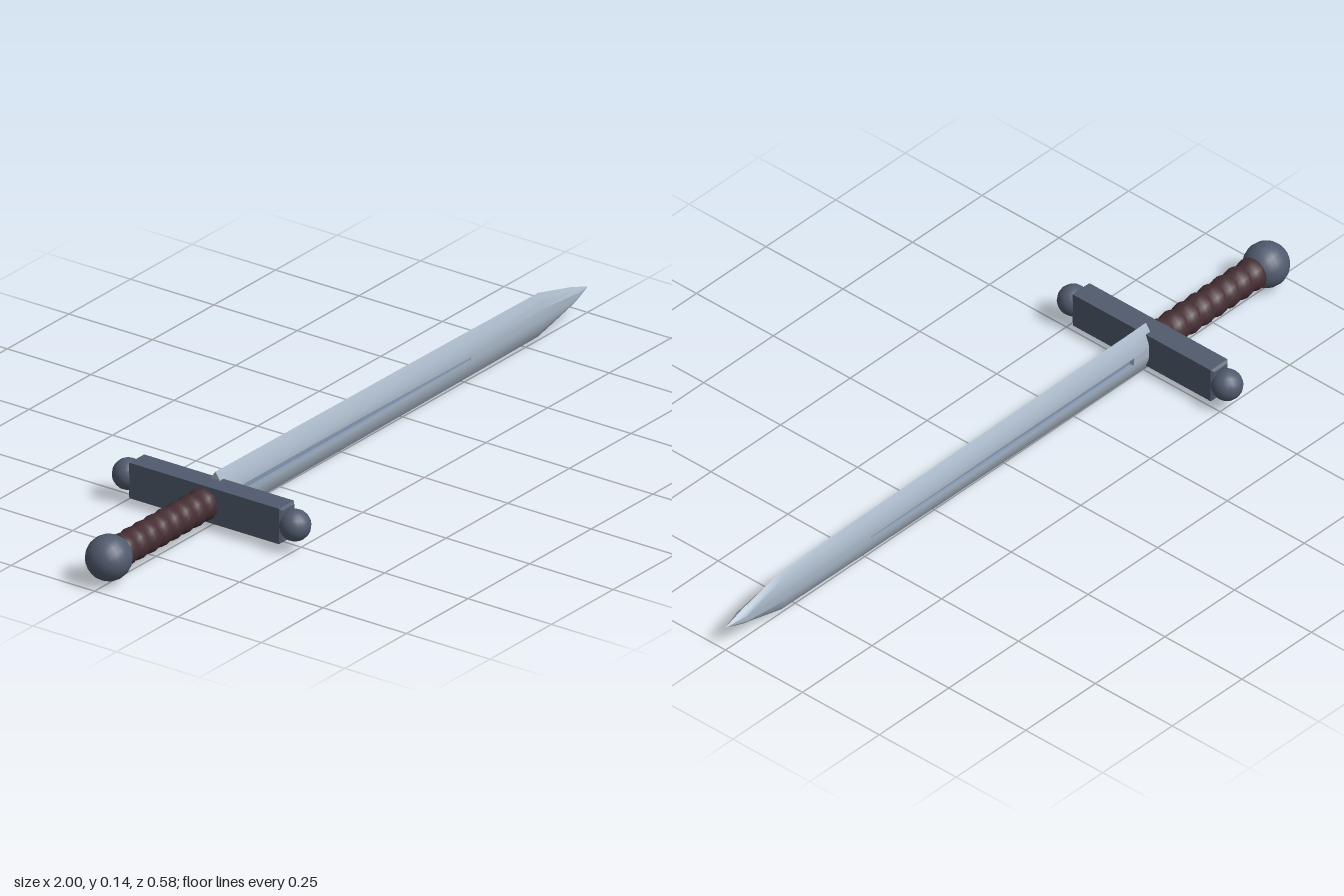
import * as THREE from 'three';
import { toCreasedNormals } from 'three/addons/utils/BufferGeometryUtils.js';

const AXIS_Y = 0.07; // height of the sword's long axis

export function createModel() {
  const mat = (name, color, side = THREE.FrontSide) => {
    const m = new THREE.MeshStandardMaterial({ color, side });
    m.name = name;
    return m;
  };
  const steel = mat('blade steel', 0xa6b4c4);
  const shade = mat('fuller steel', 0x8395ac);
  const iron = mat('dark iron', 0x515b6e);
  const leather = mat('grip leather', 0x452e33);

  const sword = new THREE.Group();
  sword.name = 'sword';
  const add = (name, geometry, material, x = 0, z = 0) => {
    const mesh = new THREE.Mesh(geometry, material);
    mesh.name = name;
    mesh.position.set(x, AXIS_Y, z);
    sword.add(mesh);
    return mesh;
  };

  // Blade stations: x, half height, half thickness, fuller half width, fuller depth
  const stations = [
    [-0.51, 0.068, 0.024, 0.011, 0],
    [-0.44, 0.067, 0.024, 0.011, 0],
    [-0.436, 0.067, 0.024, 0.011, 0.009],
    [0.04, 0.064, 0.023, 0.009, 0.008],
    [0.25, 0.063, 0.022, 0.006, 0.006],
    [0.496, 0.061, 0.021, 0.003, 0.003],
    [0.5, 0.061, 0.021, 0.003, 0],
    [0.8, 0.058, 0.018, 0.003, 0],
    [0.94, 0.022, 0.016, 0.003, 0],
    [0.998, 0.001, 0.001, 0.0003, 0],
  ];
  // Half of a lens section with a fuller; the other half is the same turned by 180 degrees
  const section = ([x, h, t, g, d]) => {
    const half = [
      [h, 0], [0.74 * h, 0.5 * t], [0.37 * h, 0.92 * t],
      [g, t], [0.8 * g, t - d], [-0.8 * g, t - d], [-g, t],
      [-0.37 * h, 0.92 * t], [-0.74 * h, 0.5 * t],
    ];
    return [...half, ...half.map(([y, z]) => [-y, -z])].map(([y, z]) => [x, y, z]);
  };
  const rings = stations.map(section);
  const n = rings[0].length;
  const body = [], groove = [];
  for (let i = 0; i < rings.length - 1; i++) {
    for (let j = 0; j < n; j++) {
      const k = (j + 1) % n, s = j % 9;
      const inFuller = s >= 3 && s <= 5 && (stations[i][4] > 0 || stations[i + 1][4] > 0);
      const a = rings[i][j], b = rings[i][k], c = rings[i + 1][j], d = rings[i + 1][k];
      (inFuller ? groove : body).push(...a, ...b, ...c, ...b, ...d, ...c);
    }
  }
  // Flat end of the blade at the guard
  for (let j = 0; j < n; j++) {
    body.push(stations[0][0], 0, 0, ...rings[0][(j + 1) % n], ...rings[0][j]);
  }
  const surface = (points) => {
    const g = new THREE.BufferGeometry();
    g.setAttribute('position', new THREE.Float32BufferAttribute(points, 3));
    return toCreasedNormals(g, 0.6);
  };
  add('blade', surface(body), steel);
  add('fuller', surface(groove), shade);

  // Crossguard: chamfered bar running along z
  const w = 0.024, h = 0.041, bevel = 0.006, len = 0.46;
  const bar = new THREE.Shape([
    [-w, -h], [w, -h], [w, h], [-w, h],
  ].map(([x, y]) => new THREE.Vector2(x, y)));
  const guard = new THREE.ExtrudeGeometry(bar, {
    depth: len - 2 * bevel, bevelEnabled: true, bevelSize: bevel,
    bevelThickness: bevel, bevelSegments: 1,
  });
  guard.translate(0, 0, -len / 2 + bevel);
  add('crossguard', guard, iron, -0.525);

  // Ball ends of the guard
  for (const side of [-1, 1]) {
    add('guardBall', new THREE.SphereGeometry(0.04, 16, 10), iron, -0.525, side * 0.25);
  }

  // Wrapped grip: a row of rounded coils
  const coils = 8, x0 = -0.91, x1 = -0.54;
  const profile = [];
  for (let i = 0; i <= coils * 4; i++) {
    const r = 0.036 + 0.006 * Math.abs(Math.sin((i / 4) * Math.PI));
    profile.push(new THREE.Vector2(r, x0 + ((x1 - x0) * i) / (coils * 4)));
  }
  const grip = new THREE.LatheGeometry(profile, 16);
  grip.rotateZ(-Math.PI / 2);
  add('grip', grip, leather);

  // Pommel
  const pommel = new THREE.SphereGeometry(0.058, 20, 14);
  pommel.rotateZ(Math.PI / 2);
  add('pommel', pommel, iron, -0.942);

  return sword;
}
